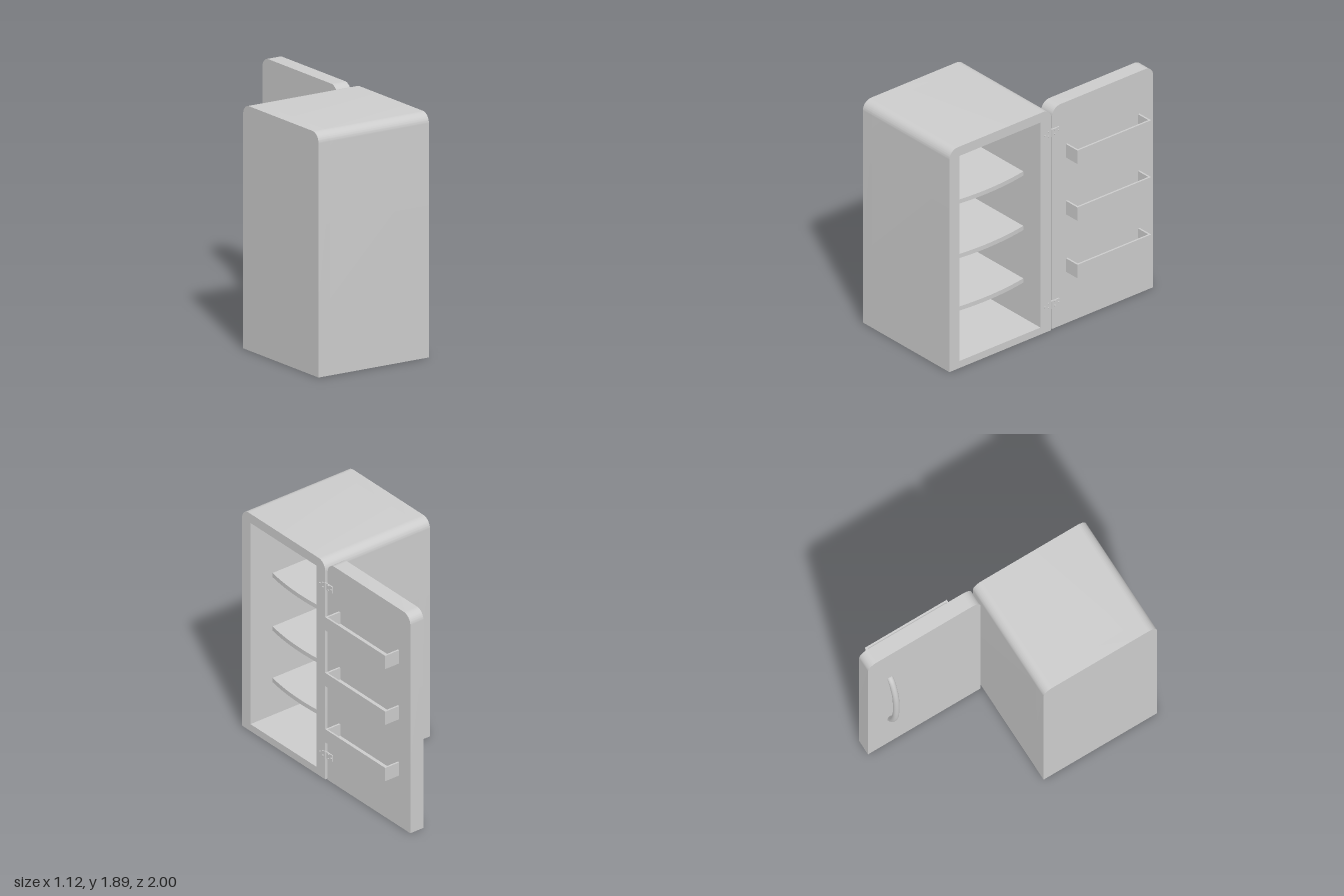
import * as THREE from 'three';
import { toCreasedNormals } from 'three/addons/utils/BufferGeometryUtils.js';

const material = new THREE.MeshStandardMaterial({ color: 0xcccccc });

function add(parent, name, geometry, x = 0, y = 0, z = 0) {
  const mesh = new THREE.Mesh(geometry, material);
  mesh.name = name;
  mesh.position.set(x, y, z);
  parent.add(mesh);
  return mesh;
}

function addBox(parent, name, x0, x1, y0, y1, z0, z1) {
  return add(parent, name, new THREE.BoxGeometry(x1 - x0, y1 - y0, z1 - z0),
    (x0 + x1) / 2, (y0 + y1) / 2, (z0 + z1) / 2);
}

// Side outline with rounded top corners; the shape's x runs along -z
function outline(z0, z1, height, r) {
  const a = -z1, b = -z0;
  const s = new THREE.Shape();
  s.moveTo(a, 0);
  s.lineTo(b, 0);
  s.lineTo(b, height - r);
  s.absarc(b - r, height - r, r, 0, Math.PI / 2, false);
  s.lineTo(a + r, height);
  s.absarc(a + r, height - r, r, Math.PI / 2, Math.PI, false);
  s.lineTo(a, 0);
  return s;
}

// Extrude an outline along x from x0 to x1
function slab(shape, x0, x1) {
  const g = new THREE.ExtrudeGeometry(shape, { depth: x1 - x0, bevelEnabled: false, curveSegments: 10 });
  g.rotateY(Math.PI / 2);
  g.translate(x0, 0, 0);
  return toCreasedNormals(g, 0.6);
}

// Shelf with a gently bowed front edge
function shelfGeometry() {
  const s = new THREE.Shape();
  s.moveTo(-0.47, -0.88);
  s.lineTo(0.24, -0.88);
  s.quadraticCurveTo(0.31, -0.495, 0.24, -0.112);
  s.lineTo(-0.47, -0.112);
  s.closePath();
  const g = new THREE.ExtrudeGeometry(s, { depth: 0.036, bevelEnabled: false, curveSegments: 16 });
  g.rotateX(-Math.PI / 2);
  return toCreasedNormals(g, 0.6);
}

// Bowed handle: elliptical rings swept along an arc, thinner toward both ends
function handleGeometry() {
  const curve = new THREE.CatmullRomCurve3([
    [0.315, 0.49], [0.275, 0.55], [0.228, 0.72], [0.215, 0.945],
    [0.228, 1.17], [0.275, 1.34], [0.315, 1.40],
  ].map(([x, y]) => new THREE.Vector3(x, y, -0.805)));
  return new THREE.TubeGeometry(curve, 40, 0.025, 14, false);
}

export function createModel() {
  const model = new THREE.Group();
  model.name = 'refrigerator';

  // Cabinet: hollow shell plus back panel
  const cabinet = new THREE.Group();
  cabinet.name = 'cabinet';
  model.add(cabinet);
  const shell = outline(0.005, 1, 1.89, 0.08);
  const opening = new THREE.Path();
  opening.moveTo(-0.9, 0.06);
  opening.lineTo(-0.9, 1.81);
  opening.lineTo(-0.11, 1.81);
  opening.lineTo(-0.11, 0.06);
  opening.closePath();
  shell.holes.push(opening);
  add(cabinet, 'cabinetShell', slab(shell, -0.46, 0.435));
  add(cabinet, 'cabinetBack', slab(outline(0.005, 1, 1.89, 0.08), -0.563, -0.46));

  const shelf = shelfGeometry();
  for (const y of [0.362, 0.81, 1.275]) add(cabinet, 'shelf', shelf, 0, y, 0.992 - 0.992);

  // Door, swung wide open
  const door = new THREE.Group();
  door.name = 'door';
  model.add(door);
  add(door, 'doorPanel', slab(outline(-1, -0.012, 1.89, 0.08), 0.3, 0.425));
  add(door, 'doorHandle', handleGeometry());

  // Door bins: floor, front rail and two ends
  for (const y of [0.44, 0.93, 1.415]) {
    const bin = new THREE.Group();
    bin.name = 'doorBin';
    door.add(bin);
    const top = y + 0.115, z0 = -0.867, z1 = -0.147, t = 0.015;
    addBox(bin, 'binFloor', 0.42, 0.558, y, y + t, z0, z1);
    addBox(bin, 'binRail', 0.558 - t, 0.558, y + t, top, z0, z1);
    addBox(bin, 'binEnd', 0.42, 0.558 - t, y + t, top, z0, z0 + t);
    addBox(bin, 'binEnd', 0.42, 0.558 - t, y + t, top, z1 - t, z1);
  }

  // Hinges: barrel, two leaves and screw heads
  const screw = new THREE.CylinderGeometry(0.007, 0.007, 0.012, 10).rotateZ(Math.PI / 2);
  for (const y of [0.217, 1.682]) {
    const hinge = new THREE.Group();
    hinge.name = 'hinge';
    hinge.position.y = y;
    model.add(hinge);
    add(hinge, 'hingeBarrel', new THREE.CylinderGeometry(0.008, 0.008, 0.064, 12), 0.437, 0, 0);
    addBox(hinge, 'doorLeaf', 0.42, 0.435, -0.027, 0.027, -0.077, 0);
    addBox(hinge, 'cabinetLeaf', 0.425, 0.434, -0.027, 0.027, 0, 0.077);
    for (const side of [1, -1]) {
      for (const [dy, dz] of [[0, 0.067], [0.019, 0.031], [-0.019, 0.031]]) {
        add(hinge, 'hingeScrew', screw, 0.437, dy, side * dz);
      }
    }
  }

  return model;
}
